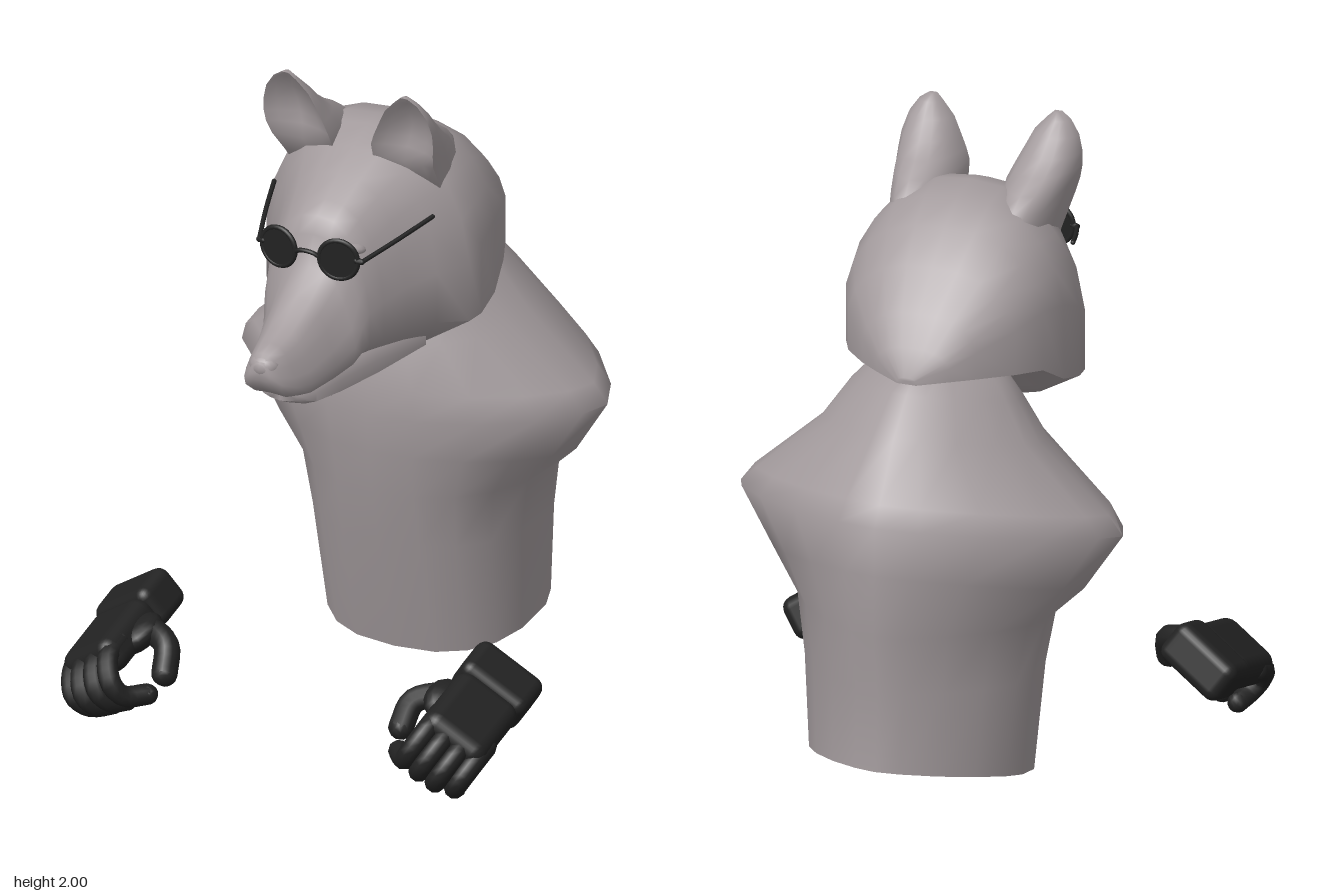
import * as THREE from 'three';
import { toCreasedNormals } from 'three/addons/utils/BufferGeometryUtils.js';
import { RoundedBoxGeometry } from 'three/addons/geometries/RoundedBoxGeometry.js';

const fur = new THREE.MeshStandardMaterial({ color: 0xa39b9d });
const black = new THREE.MeshStandardMaterial({ color: 0x222222 });
const V = (x, y, z) => new THREE.Vector3(x, y, z);

function add(parent, name, geo, mat, pos = [0, 0, 0], rot = [0, 0, 0]) {
  const m = new THREE.Mesh(geo, mat);
  m.name = name;
  m.position.set(...pos);
  m.rotation.set(...rot);
  parent.add(m);
  return m;
}

// Skin over a stack of equal-sized closed rings, capped at both ends.
function loft(rings, crease) {
  const n = rings[0].length, pts = rings.flat(), idx = [];
  const centre = ring => ring.reduce((s, p) => s.add(p), V(0, 0, 0)).divideScalar(n);
  const first = pts.length, last = first + 1, top = (rings.length - 1) * n;
  const all = [...pts, centre(rings[0]), centre(rings[rings.length - 1])];
  for (let i = 0; i < n; i++) {
    const j = (i + 1) % n;
    for (let r = 0; r < top; r += n) {
      idx.push(r + i, r + j, r + n + j, r + i, r + n + j, r + n + i);
    }
    idx.push(first, j, i, last, top + i, top + j);
  }
  const g = new THREE.BufferGeometry().setFromPoints(all);
  g.setIndex(idx);
  g.computeVertexNormals();
  return toCreasedNormals(g, crease);
}

// Torso ring: tilted superellipse, more pointed along the spine than at the chest.
function torsoRing([yf, zf, ys, zs, w, yb, zb, e]) {
  const ring = [];
  for (let i = 0; i < 20; i++) {
    const a = i / 20 * Math.PI * 2, s = Math.sin(a), c = Math.cos(a);
    const front = c > 0, p = 2 / (front ? e : 1.5);
    const px = Math.sign(s) * Math.abs(s) ** p, k = Math.abs(c) ** p;
    ring.push(V(px * w, ys + ((front ? yf : yb) - ys) * k, zs + ((front ? zf : zb) - zs) * k));
  }
  return ring;
}

// Head ring: half outline blended from skull (k = 0) to muzzle (k = 1); hem pulls the sides down.
const skull = [[0, 1], [.3, .985], [.58, .92], [.78, .8], [.92, .65], [1, .46], [1, .22], [.58, .07], [0, 0]];
const snout = [[0, 1], [.34, .97], [.58, .84], [.76, .65], [.92, .42], [1, .24], [.94, .09], [.6, .01], [0, .03]];
function headRing([z, top, bottom, w, k, hem = 0]) {
  const half = skull.map(([x, t], i) => {
    const u = x + (snout[i][0] - x) * k, v = t + (snout[i][1] - t) * k;
    return V(-u * w, bottom + (top - bottom) * v * (i > 5 ? 1 - hem : 1), z);
  });
  const other = half.slice(1, -1).reverse().map(p => V(-p.x, p.y, p.z));
  return [...half, ...other];
}

// Ear ring: rounded back, hollow front.
function earRing([y, x0, x1, zf, zb, hollow], side) {
  const cx = (x0 + x1) / 2, r = (x1 - x0) / 2, ring = [];
  for (const t of [-.5, 0, .5]) ring.push(V(cx + t * r * 1.3, y, zf - hollow * (1 - Math.abs(t))));
  for (let i = 0; i <= 8; i++) {
    const a = i / 8 * Math.PI;
    ring.push(V(cx + r * Math.cos(a), y, zf - (zf - zb) * Math.sin(a)));
  }
  return side > 0 ? ring : ring.map(p => V(-p.x, p.y, p.z)).reverse();
}

// Round-ended tube along a smooth path.
function limb(parent, name, points, r) {
  const g = new THREE.Group();
  g.name = name;
  parent.add(g);
  const path = new THREE.CatmullRomCurve3(points);
  add(g, name + 'Tube', new THREE.TubeGeometry(path, 14, r, 10), black);
  for (const p of [points[0], points[points.length - 1]]) {
    add(g, name + 'End', new THREE.SphereGeometry(r, 10, 8), black, p.toArray());
  }
}

function makeHand(side) {
  const hand = new THREE.Group();
  hand.name = side > 0 ? 'leftGlove' : 'rightGlove';
  hand.position.set(.597 * side, .258, .365);
  hand.rotation.set(.26, 0, -.6 * side);
  add(hand, 'cuff', new RoundedBoxGeometry(.236, .135, .155, 3, .035), black);
  add(hand, 'palm', new RoundedBoxGeometry(.22, .115, .27, 3, .045), black, [0, 0, .185]);
  // Curled fingers, from little finger to index
  [.088, .032, -.025, -.08].forEach((x, i) => {
    const reach = [-.022, 0, 0, -.008][i], drop = [.9, .97, 1.02, 1.08][i];
    limb(hand, 'finger', [
      V(x * side, .012, .23), V(x * side, .005, .32 + reach), V(x * side, -.05 * drop, .375 + reach),
      V(x * side, -.1 * drop, .365 + reach), V((x - (i === 3 ? .03 : 0)) * side, -.14 * drop, .305),
    ], .032);
  });
  // Thumb closing on the index finger
  limb(hand, 'thumb', [V(-.05 * side, -.01, .09), V(-.11 * side, -.035, .13),
    V(-.165 * side, -.085, .175), V(-.148 * side, -.14, .235)], .039);
  const base = add(hand, 'thumbBase', new THREE.SphereGeometry(1, 14, 10), black, [-.08 * side, -.025, .15]);
  base.scale.set(.075, .045, .085);
  return hand;
}

function makeHead() {
  const head = new THREE.Group();
  head.name = 'head';
  // z, top, bottom, half width, blend, hem
  add(head, 'skullAndMuzzle', loft([
    [-.5, 1.385, 1.365, .03, 0, 1], [-.45, 1.46, 1.37, .115, 0, 1], [-.4, 1.55, 1.37, .18, 0, 1],
    [-.3, 1.66, 1.36, .265, 0, 1], [-.2, 1.75, 1.34, .312, 0, .95], [-.1, 1.81, 1.27, .337, 0, .88],
    [0, 1.83, 1.18, .347, 0, .45], [.06, 1.82, 1.12, .34, 0, .12], [.15, 1.78, 1.13, .28, 0],
    [.24, 1.73, 1.14, .228, 0], [.32, 1.68, 1.16, .195, .1], [.37, 1.645, 1.17, .175, .2],
    [.395, 1.595, 1.175, .165, .4], [.42, 1.5, 1.18, .154, .8], [.5, 1.435, 1.175, .132, 1],
    [.6, 1.37, 1.17, .108, 1], [.66, 1.35, 1.185, .088, 1], [.705, 1.335, 1.215, .063, 1],
    [.728, 1.31, 1.255, .035, 1],
  ].map(headRing), 1.1), fur);
  add(head, 'lowerJaw', loft([
    [.1, 1.3, 1.13, .215, 0], [.3, 1.28, 1.11, .165, 0], [.45, 1.25, 1.105, .122, 0],
    [.55, 1.22, 1.115, .094, 0], [.6, 1.2, 1.14, .055, 0],
  ].map(headRing), 1.1), fur);
  const nose = add(head, 'nose', new THREE.SphereGeometry(1, 16, 10), fur, [0, 1.292, .69]);
  nose.scale.set(.05, .04, .042);
  // Pointed tuft under the chin
  for (const x of [-.05, 0, .05]) {
    const tuft = add(head, 'chinTuft', new THREE.ConeGeometry(.055, x ? .08 : .11, 8), fur,
      [x, x ? 1.115 : 1.105, .385], [Math.PI + .3, 0, 0]);
    tuft.scale.z = .8;
  }
  for (const s of [1, -1]) {
    add(head, 'ear', loft([
      [1.6, .1, .24, .03, -.12, 0], [1.7, .075, .258, .1, -.14, 0], [1.77, .068, .27, .155, -.1, .005],
      [1.815, .072, .279, .175, -.045, .035], [1.85, .085, .283, .181, .02, .045],
      [1.89, .103, .282, .185, .075, .045], [1.94, .128, .268, .193, .125, .03],
      [1.98, .165, .24, .2, .165, .01], [2, .187, .21, .206, .185, 0],
    ].map(r => earRing(r, s)), 1.3), fur);
    const eye = add(head, 'eye', new THREE.SphereGeometry(1, 12, 8), fur, [.112 * s, 1.56, .355], [0, .7 * s, -.2 * s]);
    eye.scale.set(.04, .018, .028);
  }
  return head;
}

function makeGlasses() {
  const glasses = new THREE.Group();
  glasses.name = 'glasses';
  for (const s of [1, -1]) {
    add(glasses, 'lens', new THREE.CylinderGeometry(.062, .062, .012, 28), black, [.1 * s, 1.547, .425], [Math.PI / 2, 0, -.15 * s]);
    add(glasses, 'rim', new THREE.TorusGeometry(.06, .008, 8, 28), black, [.1 * s, 1.547, .425], [0, .15 * s, 0]);
    limb(glasses, 'hinge', [V(.155 * s, 1.552, .418), V(.172 * s, 1.55, .413)], .009);
    limb(glasses, 'temple', [V(.172 * s, 1.55, .413), V(.222 * s, 1.582, .28), V(.265 * s, 1.612, .15)], .007);
  }
  limb(glasses, 'bridge', [V(-.042, 1.545, .433), V(-.02, 1.558, .44), V(.02, 1.558, .44), V(.042, 1.545, .433)], .007);
  return glasses;
}

export function createModel() {
  const model = new THREE.Group();
  model.name = 'wolfBust';
  // front y z, side y z, half width, back y z, chest roundness
  add(model, 'torso', loft([
    [.07, -.1, .15, -.42, .335, .23, -.75, 2.5], [.45, 0, .45, -.4, .358, .47, -.73, 2.3],
    [.62, .035, .63, -.37, .39, .66, -.76, 2.1], [.76, .06, .725, -.32, .49, .85, -.755, 1.8],
    [.88, .07, .9, -.3, .605, 1, -.75, 1.65], [.97, .065, .96, -.3, .56, 1.06, -.71, 1.7],
    [1.1, .04, 1.15, -.3, .345, 1.23, -.6, 1.9],
    [1.2, 0, 1.27, -.28, .262, 1.33, -.5, 2], [1.32, -.06, 1.36, -.25, .18, 1.4, -.42, 2],
  ].map(torsoRing), 1.2), fur);
  model.add(makeHead(), makeGlasses(), makeHand(1), makeHand(-1));
  return model;
}
